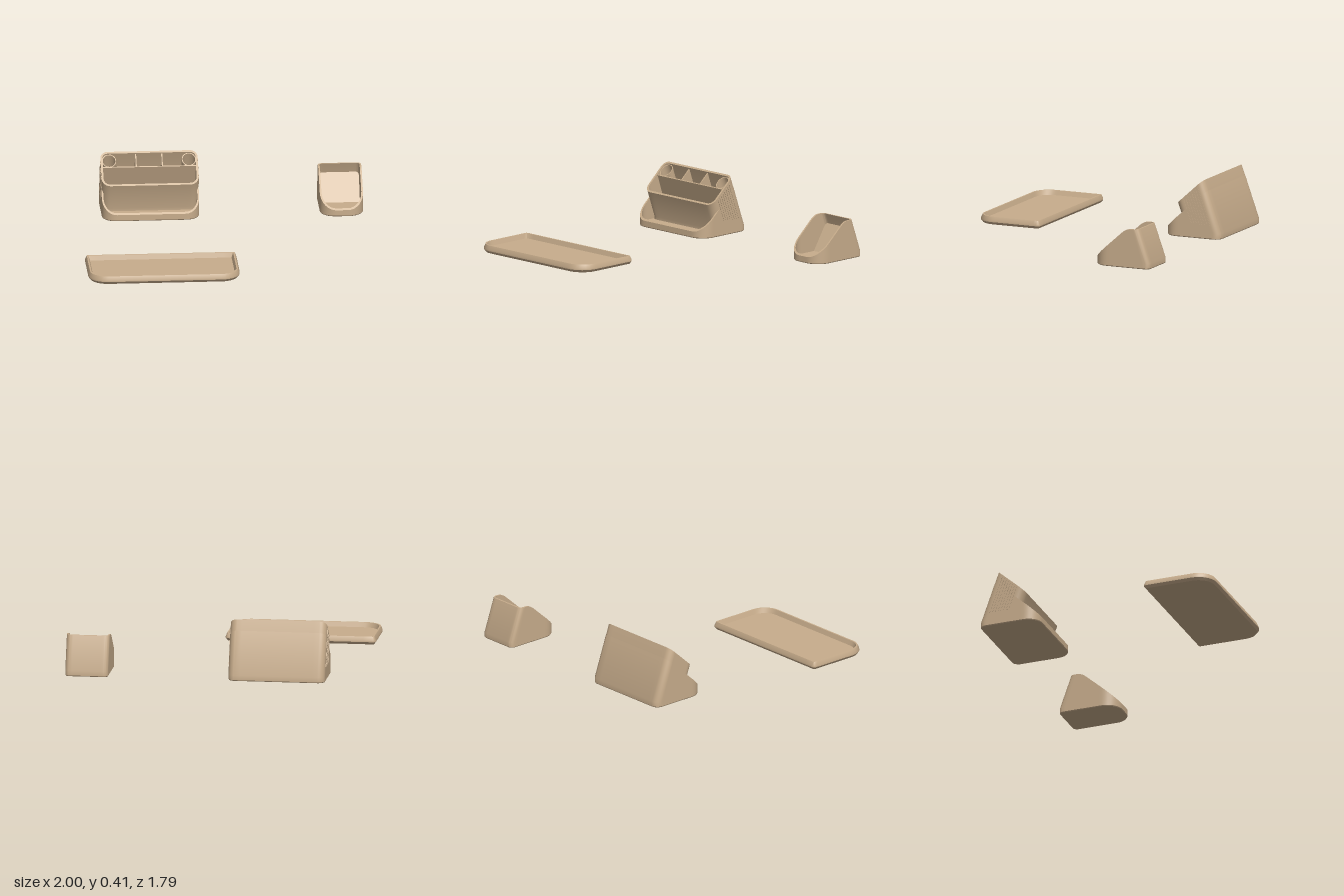
import * as THREE from 'three';
import { toCreasedNormals } from 'three/addons/utils/BufferGeometryUtils.js';

const material = new THREE.MeshStandardMaterial({ color: 0xc8ad8c });
const LEAN = 0.36; // forward lean of the back walls per unit of height
const KINK = 0.04; // height where the lean starts

// Rounded rectangle in plan, with separate back and front corner radii
function plan({ x0, x1, z0, z1, rBack, rFront }, inset = 0) {
  const corners = [
    [x1, z1, -1, -1, rFront, 0], [x0, z1, 1, -1, rFront, 1],
    [x0, z0, 1, 1, rBack, 2], [x1, z0, -1, 1, rBack, 3],
  ];
  const arcs = corners.map(([x, z, sx, sz, r, q]) => {
    const rad = Math.max(r - inset, 0.002), d = inset + rad;
    return Array.from({ length: 9 }, (_, i) => {
      const a = (q + i / 8) * Math.PI / 2;
      return [x + sx * d + rad * Math.cos(a), z + sz * d + rad * Math.sin(a)];
    });
  });
  // Subdivide the straight runs so sloped rims can follow a curve
  return arcs.flatMap((arc, k) => {
    const a = arc[8], b = arcs[(k + 1) % 4][0], run = [];
    for (let i = 1; i < 16; i++) run.push([a[0] + (b[0] - a[0]) * i / 16, a[1] + (b[1] - a[1]) * i / 16]);
    return [...arc, ...run];
  });
}

// Skin over a stack of equal loops of [x, y, z], capped at both ends
function loft(rows) {
  const n = rows[0].length, pos = rows.flat(2), index = [];
  for (let r = 0; r < rows.length - 1; r++) {
    for (let i = 0; i < n; i++) {
      const j = (i + 1) % n, a = r * n + i, b = r * n + j, c = a + n, d = b + n;
      index.push(a, c, b, b, c, d);
    }
  }
  for (const r of [0, rows.length - 1]) {
    const centre = pos.length / 3;
    pos.push(...[0, 1, 2].map((k) => rows[r].reduce((s, p) => s + p[k], 0) / n));
    for (let i = 0; i < n; i++) {
      const a = r * n + i, b = r * n + (i + 1) % n;
      index.push(centre, ...(r === 0 ? [a, b] : [b, a]));
    }
  }
  const g = new THREE.BufferGeometry();
  g.setAttribute('position', new THREE.Float32BufferAttribute(pos, 3));
  g.setIndex(index);
  return toCreasedNormals(g, 0.5);
}

const lean = (z, y, w = 1) => z + w * LEAN * Math.max(0, y - KINK);

// Height at which a leaning column meets the rim profile
function rimHeight(z, w, rim) {
  let y = 0.2;
  for (let i = 0; i < 20; i++) y = rim(lean(z, y, w));
  return y;
}

// Open-topped leaning shell; upright front walls when frontUpright is set
function shell(box, { wall, floor, bottom = 0, rim, frontUpright = false }) {
  const weight = (z) => frontUpright
    ? THREE.MathUtils.clamp((box.z1 - box.rFront - z) / (box.z1 - box.rFront - box.z0 - box.rBack), 0, 1) : 1;
  const row = (inset, y) => plan(box, inset).map(([x, z]) => {
    const w = weight(z), top = rimHeight(z, w, rim), h = y === null ? top : Math.min(y, top);
    return [x, h, lean(z, h, w)];
  });
  return loft([
    row(0.004, bottom), row(0, bottom + 0.006), row(0, KINK), row(0, null),
    row(wall, null), row(wall, KINK), row(wall, floor),
  ]);
}

// Leaning upright slab whose top follows the rim
function slab(x0, x1, z0, z1, y0, rim) {
  const g = new THREE.BoxGeometry(1, 1, 1), p = g.attributes.position;
  for (let i = 0; i < p.count; i++) {
    const z = p.getZ(i) < 0 ? z0 : z1;
    const y = p.getY(i) < 0 ? y0 : rimHeight(z, 1, rim);
    p.setXYZ(i, p.getX(i) < 0 ? x0 : x1, y, lean(z, y));
  }
  g.computeVertexNormals();
  return g;
}

export function createModel() {
  const model = new THREE.Group();
  const group = (name) => {
    const g = new THREE.Group();
    g.name = name;
    model.add(g);
    return g;
  };
  const add = (parent, name, geometry) => {
    const m = new THREE.Mesh(geometry, material);
    m.name = name;
    parent.add(m);
  };

  // Shallow tray with bevelled edges
  const trayBox = { x0: -1, x1: 0.05, z0: 0.395, z1: 0.89, rBack: 0.025, rFront: 0.135 };
  const trayRows = [[0.014, 0], [0, 0.018], [0, 0.028], [0.012, 0.055], [0.023, 0.055], [0.034, 0.022]];
  add(group('tray'), 'trayBody', loft(trayRows.map(([inset, y]) => plan(trayBox, inset).map(([x, z]) => [x, y, z]))));

  // Sloped side profiles
  const slope = (z) => 0.045 + 0.885 * (-0.465 - z);
  const cappedSlope = (z) => {
    const s = slope(z), k = 0.03, d = Math.max(k - Math.abs(s - 0.275), 0) / k;
    return Math.min(s, 0.275) - d * d * k / 4;
  };
  const mouth = (z) => 0.225 + 0.9 * (-0.56 - z);
  const below = (amount) => (z) => mouth(z) - amount;

  // Small stand with an inclined back rest
  const small = group('smallStand');
  add(small, 'smallStandShell', shell(
    { x0: 0.697, x1: 0.997, z0: -0.897, z1: -0.465, rBack: 0.035, rFront: 0.11 },
    { wall: 0.012, floor: 0.02, rim: cappedSlope, frontUpright: true }));
  const wedge = new THREE.Shape([[0.71, 0.019], [0.86, 0.019], [0.828, 0.205]].map(([x, y]) => new THREE.Vector2(x, y)));
  const rest = new THREE.ExtrudeGeometry(wedge, { depth: 0.278, bevelEnabled: false });
  rest.rotateY(Math.PI / 2).translate(0.708, 0, 0);
  add(small, 'backRest', rest);

  // Large caddy: open base with a leaning container standing in it
  const caddy = group('caddy');
  add(caddy, 'caddyBase', shell(
    { x0: -0.815, x1: -0.14, z0: -0.897, z1: -0.465, rBack: 0.05, rFront: 0.1 },
    { wall: 0.012, floor: 0.02, rim: slope, frontUpright: true }));
  add(caddy, 'container', shell(
    { x0: -0.814, x1: -0.141, z0: -0.896, z1: -0.627, rBack: 0.05, rFront: 0.06 },
    { wall: 0.014, floor: 0.026, bottom: 0.008, rim: mouth }));

  // Narrow rear row: partition, dividers and a round tube at each end
  add(caddy, 'partition', slab(-0.802, -0.153, -0.787, -0.78, 0.02, below(0.012)));
  for (const x of [-0.568, -0.387]) add(caddy, 'divider', slab(x - 0.004, x + 0.004, -0.885, -0.784, 0.02, below(0.012)));
  for (const x of [-0.754, -0.201]) {
    add(caddy, 'tube', shell(
      { x0: x - 0.049, x1: x + 0.049, z0: -0.884, z1: -0.782, rBack: 0.049, rFront: 0.049 },
      { wall: 0.006, floor: 0.03, bottom: 0.02, rim: below(0.012) }));
  }

  // Grip ribs on both sides of the caddy
  for (const x of [-0.814, -0.141]) {
    for (let i = 0; i < 8; i++) {
      const z = -0.845 + i * 0.02;
      add(caddy, 'gripRib', slab(x - 0.003, x + 0.003, z, z + 0.01, 0.1, below(0.02)));
    }
  }
  return model;
}
